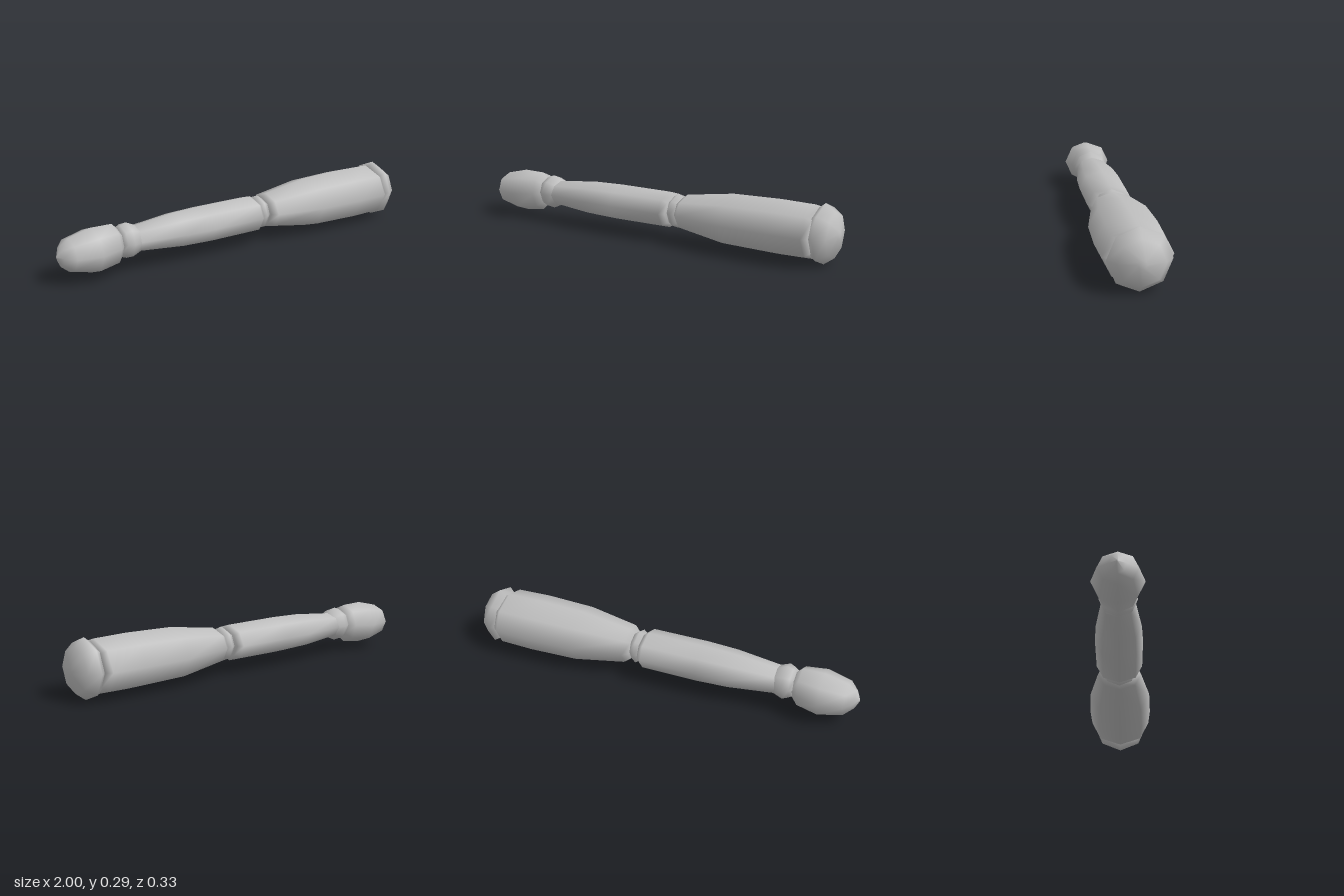
import * as THREE from 'three';

const SIDES = 8;

// Closed smooth loft along x; each ring is [x, centre y, half height, half depth].
// sideShift slides the side corners of the first ring along x.
function loft(rings, sideShift = 0) {
  const pos = [], index = [];
  rings.forEach(([x, cy, ry, rz], r) => {
    for (let i = 0; i < SIDES; i++) {
      const a = (i / SIDES) * Math.PI * 2;
      const shift = r === 0 ? sideShift * Math.abs(Math.sin(a)) : 0;
      pos.push(x + shift, cy + ry * Math.cos(a), rz * Math.sin(a));
    }
  });
  for (let r = 0; r < rings.length - 1; r++) {
    for (let i = 0; i < SIDES; i++) {
      const j = (i + 1) % SIDES;
      const a = r * SIDES + i, b = r * SIDES + j;
      index.push(a, b, a + SIDES, b, b + SIDES, a + SIDES);
    }
  }
  // End caps
  const last = (rings.length - 1) * SIDES;
  const c0 = pos.length / 3;
  const first = rings[0], end = rings[rings.length - 1];
  pos.push(first[0] + sideShift / 2, first[1], 0, end[0], end[1], 0);
  for (let i = 0; i < SIDES; i++) {
    const j = (i + 1) % SIDES;
    index.push(c0, j, i, c0 + 1, last + i, last + j);
  }
  const g = new THREE.BufferGeometry();
  g.setAttribute('position', new THREE.Float32BufferAttribute(pos, 3));
  g.setIndex(index);
  g.computeVertexNormals();
  return g;
}

export function createModel() {
  const group = new THREE.Group();
  const grey = new THREE.MeshStandardMaterial({ color: 0xbfbfbf });
  grey.name = 'plain grey';

  const add = (name, rings, sideShift) => {
    const mesh = new THREE.Mesh(loft(rings, sideShift), grey);
    mesh.name = name;
    group.add(mesh);
  };

  // Rounded knob at the thin end
  add('endKnob', [
    [-1, 0.14, 0.005, 0.004], [-0.98, 0.14, 0.05, 0.038], [-0.94, 0.139, 0.08, 0.092],
    [-0.82, 0.139, 0.109, 0.121], [-0.71, 0.145, 0.101, 0.092], [-0.675, 0.145, 0.065, 0.055],
  ]);

  // Narrow collar behind the knob
  add('knobCollar', [
    [-0.685, 0.151, 0.065, 0.06], [-0.665, 0.151, 0.077, 0.075],
    [-0.635, 0.151, 0.088, 0.09], [-0.59, 0.151, 0.068, 0.078], [-0.575, 0.151, 0.05, 0.06],
  ]);

  // Slim tapered shaft
  add('slimShaft', [
    [-0.585, 0.151, 0.064, 0.078], [-0.36, 0.151, 0.087, 0.11], [-0.2, 0.151, 0.092, 0.117],
    [0.09, 0.151, 0.091, 0.116], [0.115, 0.151, 0.072, 0.095],
  ], -0.025);

  // Ring joining both shafts
  add('middleRing', [
    [0.108, 0.151, 0.065, 0.068], [0.138, 0.151, 0.087, 0.088], [0.168, 0.151, 0.065, 0.068],
  ]);

  // Thick tapered shaft
  add('thickShaft', [
    [0.165, 0.152, 0.068, 0.085], [0.192, 0.152, 0.088, 0.112], [0.45, 0.15, 0.128, 0.158],
    [0.7, 0.151, 0.134, 0.166], [0.875, 0.151, 0.131, 0.16], [0.9, 0.151, 0.11, 0.135],
  ]);

  // Domed cap at the thick end
  add('endCap', [
    [0.89, 0.149, 0.118, 0.118], [0.925, 0.149, 0.146, 0.146],
    [0.978, 0.149, 0.108, 0.108], [0.998, 0.149, 0.02, 0.02],
  ]);

  return group;
}
